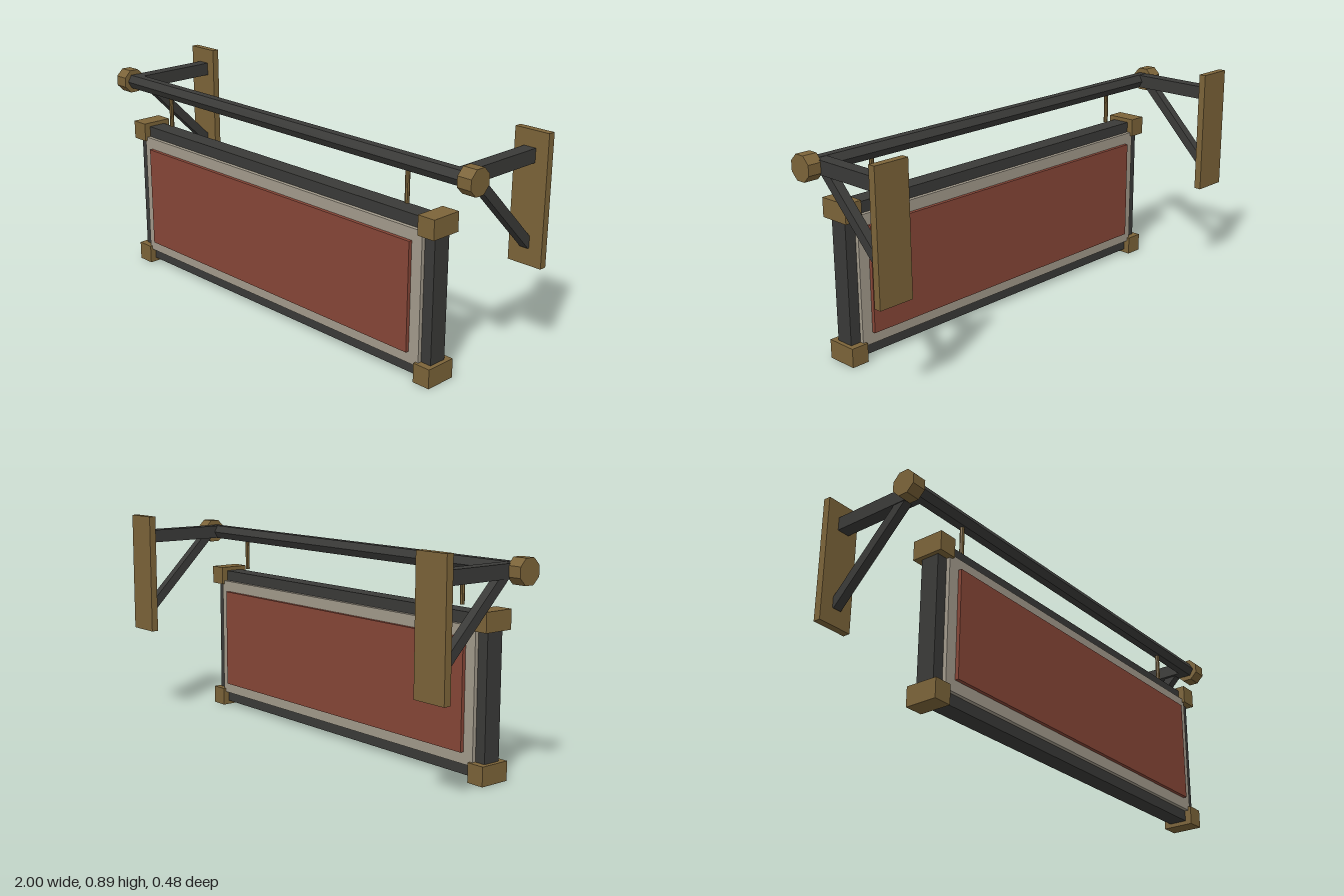
import * as THREE from 'three';

const mat = (color) => new THREE.MeshStandardMaterial({ color, flatShading: true });

export function createModel() {
  const iron = mat(0x3a3a38), brass = mat(0x7c6439), stone = mat(0xa39b8c), red = mat(0x874637);
  const model = new THREE.Group();
  model.name = 'hangingSign';
  const Z = 0.171, MID = 0.324, BAR_Y = 0.802;

  const add = (name, geometry, material, x, y, z) => {
    const mesh = new THREE.Mesh(geometry, material);
    mesh.name = name;
    mesh.position.set(x, y, z);
    model.add(mesh);
    return mesh;
  };
  const box = (name, w, h, d, material, x, y, z) =>
    add(name, new THREE.BoxGeometry(w, h, d), material, x, y, z);
  // Faceted rod lying along x
  const rod = (name, r, length, sides, turn, material, x) =>
    add(name, new THREE.CylinderGeometry(r, r, length, sides).rotateY(turn).rotateZ(Math.PI / 2),
      material, x, BAR_Y, Z);

  // Sign board: pale backing with a raised red face on both sides
  box('backingPanel', 1.6, 0.525, 0.108, stone, 0, MID, Z);
  box('signFace', 1.506, 0.432, 0.138, red, 0, MID, Z);

  // Frame rails
  for (const s of [-1, 1]) {
    box(s > 0 ? 'topRail' : 'bottomRail', 1.69, 0.047, 0.076, iron, 0, MID + s * 0.284, Z);
    box(s > 0 ? 'leftRail' : 'rightRail', 0.049, 0.6, 0.076, iron, s * 0.821, MID, Z);
  }

  // Six-sided hanging bar
  rod('hangingBar', 0.033, 1.92, 6, 0, iron, 0);

  for (const s of [-1, 1]) {
    const side = s > 0 ? 'left' : 'right';
    // Corner blocks
    for (const t of [-1, 1])
      box(side + (t > 0 ? 'TopCorner' : 'BottomCorner'), 0.075, 0.077, 0.131, brass,
        s * 0.825, MID + t * 0.2855, Z);

    // Bar end cap and hanger
    rod(side + 'EndCap', 0.053, 0.06, 8, Math.PI / 8, brass, s * 0.97);
    add(side + 'Hanger', new THREE.CylinderGeometry(0.009, 0.009, 0.15, 8), brass, s * 0.678, 0.723, Z);

    // Wall bracket: plate, arm and diagonal brace
    box(side + 'WallPlate', 0.148, 0.516, 0.03, brass, s * 0.926, 0.636, -0.222);
    box(side + 'Arm', 0.053, 0.055, 0.385, iron, s * 0.92, BAR_Y, -0.0225);
    const brace = box(side + 'Brace', 0.037, 0.038, 0.486, iron, s * 0.925, 0.63, -0.044);
    brace.rotation.x = -Math.PI / 4;
  }
  return model;
}
